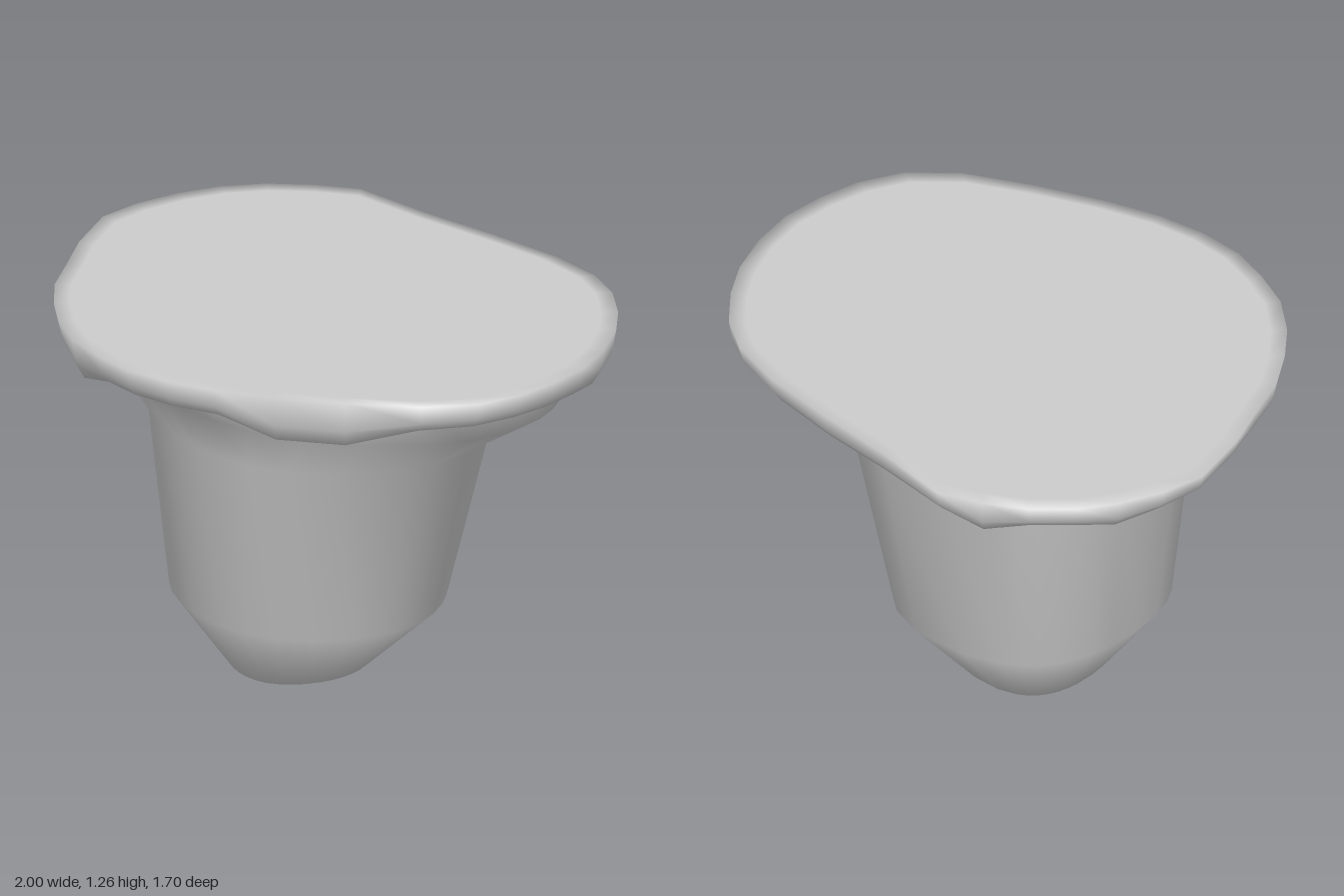
import * as THREE from 'three';

// Plateau outline as x, z pairs, running from the +x side round past the front
const OUTLINE = [
  [1, 0.04], [0.98, 0.2], [0.94, 0.34], [0.86, 0.48], [0.71, 0.6], [0.48, 0.7], [0.25, 0.78], [0.05, 0.83],
  [-0.12, 0.845], [-0.28, 0.83], [-0.42, 0.78], [-0.56, 0.71], [-0.68, 0.6], [-0.77, 0.48], [-0.85, 0.34], [-0.9, 0.18],
  [-0.96, 0], [-1, -0.22], [-0.96, -0.37], [-0.89, -0.51], [-0.8, -0.63], [-0.68, -0.73], [-0.54, -0.8], [-0.39, -0.85],
  [-0.1, -0.79], [0.18, -0.75], [0.45, -0.7], [0.64, -0.63], [0.76, -0.54], [0.86, -0.41], [0.93, -0.28], [0.98, -0.12],
];
// Height of the ragged lower lip at each outline point
const LIP = [
  1.16, 1.165, 1.17, 1.17, 1.165, 1.1, 1.1, 1.165, 1.165, 1.165, 1.165, 1.125, 1.165, 1.17, 1.15, 1.16,
  1.18, 1.18, 1.17, 1.15, 1.17, 1.17, 1.13, 1.18, 1.17, 1.165, 1.17, 1.17, 1.135, 1.17, 1.14, 1.135,
];
const TOP = 1.265;
const N = OUTLINE.length;
const material = new THREE.MeshStandardMaterial({ color: 0xcccccc, side: THREE.DoubleSide });

// Smooth skin over rings of N points, listed from top to bottom
function loft(name, rings) {
  const index = [];
  for (let r = 0; r < rings.length - 1; r++) {
    for (let i = 0; i < N; i++) {
      const j = (i + 1) % N;
      const a = r * N + i, b = r * N + j, c = a + N, d = b + N;
      index.push(a, b, c, b, d, c);
    }
  }
  const geometry = new THREE.BufferGeometry();
  geometry.setAttribute('position', new THREE.Float32BufferAttribute(rings.flat(2), 3));
  geometry.setIndex(index);
  geometry.computeVertexNormals();
  const mesh = new THREE.Mesh(geometry, material);
  mesh.name = name;
  return mesh;
}

// Outline shrunk by a factor, at a height given per point
const outlineRing = (scale, height) => OUTLINE.map(([x, z], i) => [x * scale, height(i), z * scale]);

// Oval ring between the given x and z limits, tilted by dip towards +x,
// fuller at the back right corner and flatter at the front left one
function ovalRing(y, dip, x0, x1, z0, z1) {
  return OUTLINE.map(([x, z]) => {
    const a = Math.atan2(z, x);
    const power = 0.95 + 0.13 * Math.cos(a - Math.PI / 4);
    const soft = (v) => Math.sign(v) * Math.abs(v) ** power;
    return [
      (x0 + x1) / 2 + ((x1 - x0) / 2) * soft(Math.cos(a)),
      y - dip * Math.cos(a),
      (z0 + z1) / 2 + ((z1 - z0) / 2) * soft(Math.sin(a)),
    ];
  });
}

export function createModel() {
  const group = new THREE.Group();
  group.name = 'floatingIsland';

  // Flat plateau with a softened edge, and the ragged rim hanging from it
  group.add(loft('plateau', [
    outlineRing(0, () => TOP),
    outlineRing(0.94, () => TOP),
    outlineRing(1, () => TOP),
    outlineRing(0.985, (i) => TOP - (TOP - LIP[i]) * 0.65),
    outlineRing(0.955, (i) => LIP[i]),
    outlineRing(0.91, (i) => LIP[i] + 0.015),
    outlineRing(0.86, () => 1.2),
  ]));

  // Rock column: flared neck, tapering trunk, narrow foot closed underneath
  group.add(loft('rock', [
    outlineRing(0.87, () => 1.2),
    ovalRing(1.085, 0.025, -0.7, 0.85, -0.59, 0.7),
    ovalRing(0.9, 0.02, -0.57, 0.57, -0.48, 0.58),
    ovalRing(0.255, 0.02, -0.5, 0.4, -0.41, 0.5),
    ovalRing(0, 0, -0.3, 0.15, -0.21, 0.31),
    ovalRing(0, 0, -0.08, -0.08, 0.05, 0.05),
  ]));
  return group;
}
